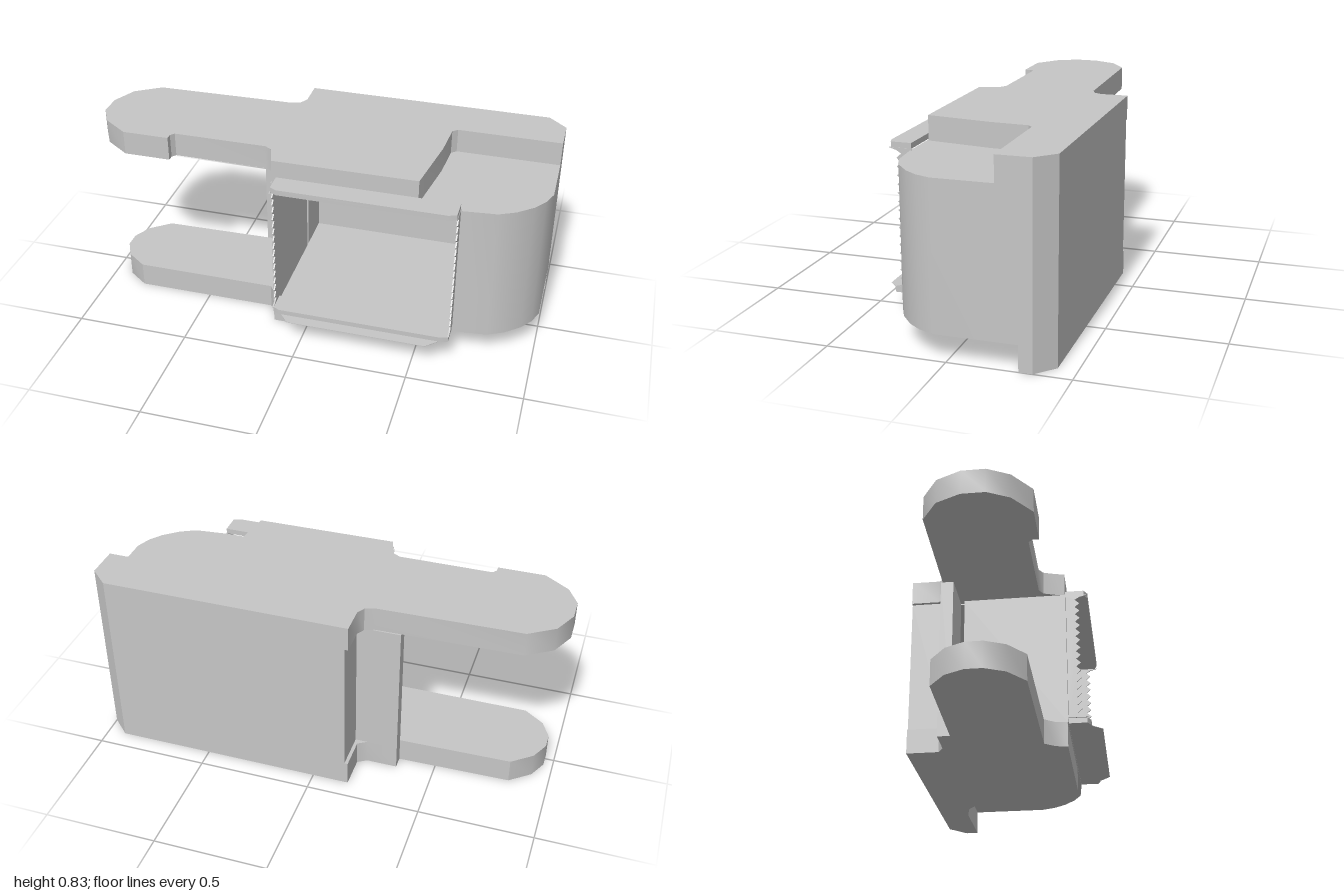
import * as THREE from 'three';
import { toCreasedNormals } from 'three/addons/utils/BufferGeometryUtils.js';

const grey = new THREE.MeshStandardMaterial({ color: 0xc6c6c6 });
grey.name = 'grey';

export function createModel() {
  const group = new THREE.Group();

  const add = (name, geometry) => {
    const mesh = new THREE.Mesh(toCreasedNormals(geometry, 0.6), grey);
    mesh.name = name;
    group.add(mesh);
  };

  // Horizontal slab: outline of [x, z] points raised from y0 to y1
  const slab = (name, points, y0, y1) => {
    const shape = new THREE.Shape(points.map(([x, z]) => new THREE.Vector2(x, -z)));
    const geo = new THREE.ExtrudeGeometry(shape, { depth: y1 - y0, bevelEnabled: false });
    geo.rotateX(-Math.PI / 2).translate(0, y0, 0);
    add(name, geo);
  };

  // Upright slab: outline of [z, y] points running from x0 to x1
  const profile = (name, points, x0, x1) => {
    const shape = new THREE.Shape(points.map(([z, y]) => new THREE.Vector2(-z, y)));
    const geo = new THREE.ExtrudeGeometry(shape, { depth: x1 - x0, bevelEnabled: false });
    geo.rotateY(Math.PI / 2).translate(x0, 0, 0);
    add(name, geo);
  };

  // Top plate with long arm and stepped front corner
  slab('topPlate', [
    [-1, -0.06], [-0.95, -0.165], [-0.84, -0.237], [-0.22, -0.25], [-0.18, -0.265],
    [-0.16, -0.3], [-0.16, -0.42], [0.92, -0.42], [1, -0.345], [1, -0.2], [0.55, -0.2],
    [0.528, -0.18], [0.518, -0.02], [0.475, 0.268], [-0.15, 0.272], [-0.165, 0.22],
    [-0.18, 0.18], [-0.21, 0.162], [-0.62, 0.162], [-0.635, 0.18], [-0.635, 0.207],
    [-0.84, 0.207], [-0.95, 0.13], [-1, 0.04],
  ], 0.725, 0.832);

  // Bottom plate with narrower arm and curved front corner
  slab('bottomPlate', [
    [-0.96, -0.04], [-0.92, -0.12], [-0.83, -0.19], [-0.335, -0.2], [-0.335, -0.255],
    [-0.2, -0.255], [-0.16, -0.28], [-0.16, -0.42], [0.92, -0.42], [1, -0.345],
    [1, -0.29], [0.7, -0.29], [0.61, -0.27], [0.54, -0.21], [0.5, -0.1], [0.47, 0.05],
    [0.425, 0.272], [-0.155, 0.272], [-0.165, 0.22], [-0.2, 0.175], [-0.83, 0.175],
    [-0.92, 0.11], [-0.96, 0.03],
  ], 0, 0.11);

  // Hollow middle: back wall, rounded side block and side fin
  slab('body', [
    [-0.145, -0.42], [0.92, -0.42], [1, -0.345], [1, 0.05], [0.975, 0.115], [0.935, 0.17],
    [0.87, 0.225], [0.8, 0.26], [0.65, 0.275], [0.65, -0.38], [-0.13, -0.38],
    [-0.13, -0.2], [-0.335, -0.2], [-0.335, -0.255], [-0.145, -0.255],
  ], 0.11, 0.725);
  slab('sideWall', [
    [-0.155, -0.18], [-0.13, -0.18], [-0.13, 0.275], [-0.155, 0.275],
  ], 0.11, 0.725);

  // Floor and ceiling of the hollow
  const hollow = [[-0.13, -0.38], [0.65, -0.38], [0.65, 0.275], [-0.13, 0.275]];
  slab('floor', hollow, 0.11, 0.115);
  slab('ceiling', hollow, 0.72, 0.725);

  // Toothed edges on both sides of the opening
  const teeth = [[0.27, 0.14], [0.36, 0.14], [0.33, 0.148]];
  const count = 15, first = 0.16, pitch = 0.0366;
  for (let i = 0; i < count; i++) {
    teeth.push([0.314, first + i * pitch], [0.334, first + (i + 0.5) * pitch]);
  }
  teeth.push([0.314, first + count * pitch], [0.335, 0.722], [0.368, 0.732], [0.27, 0.732]);
  profile('rightTeeth', teeth, -0.134, -0.128);
  profile('leftTeeth', teeth, 0.646, 0.652);

  // Lips above and below the opening, with clipped corners
  const lip = [
    [-0.13, 0.27], [0.65, 0.27], [0.65, 0.358], [0.615, 0.37], [-0.1, 0.37], [-0.13, 0.355],
  ];
  slab('topLip', lip, 0.731, 0.755);
  slab('bottomLip', lip, 0.115, 0.139);

  // Thin tongue on the bottom lip
  slab('tongue', [
    [-0.1, 0.36], [0.615, 0.36], [0.605, 0.375], [0.56, 0.417], [-0.05, 0.417],
  ], 0.115, 0.117);

  return group;
}
